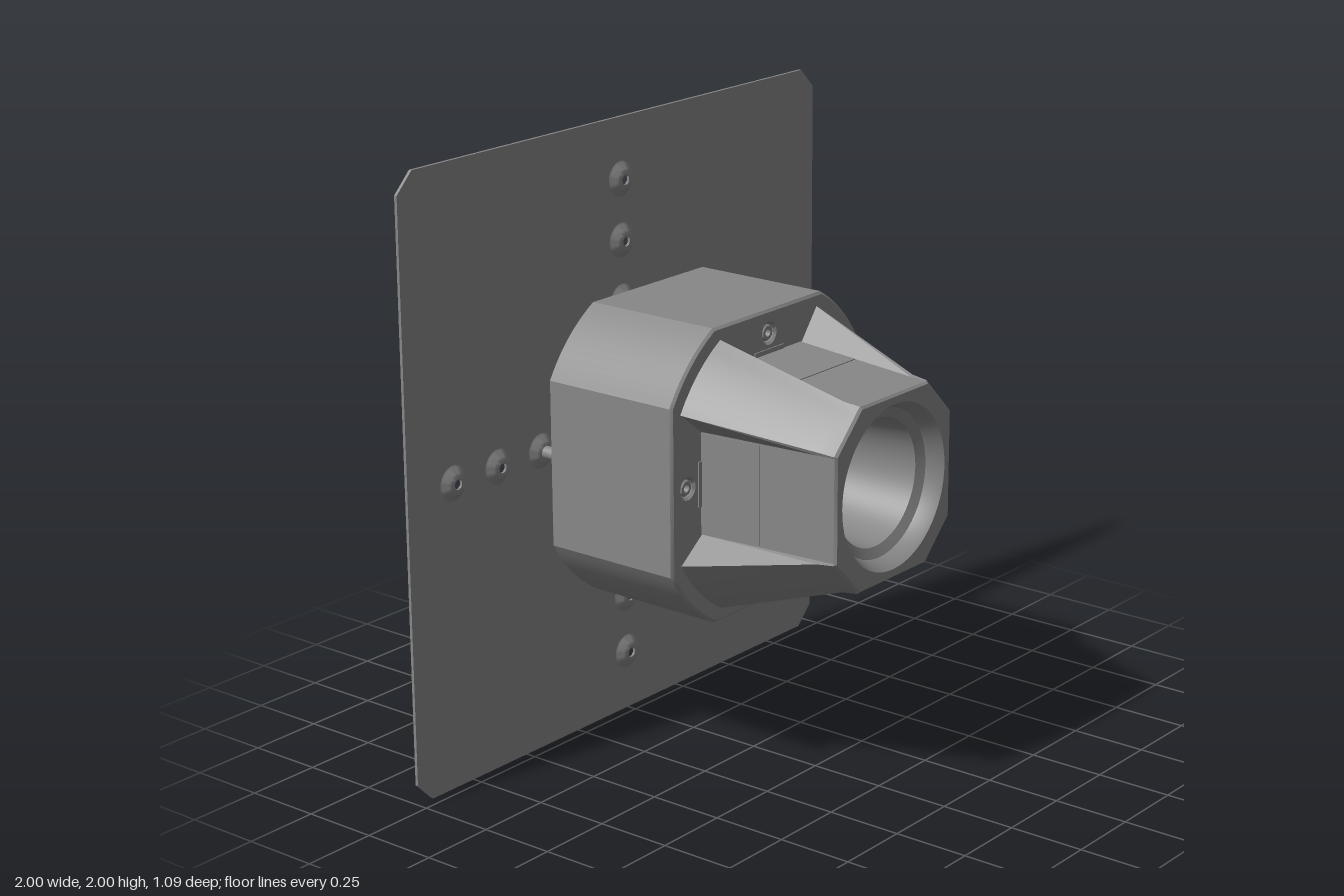
import * as THREE from 'three';
import { toCreasedNormals } from 'three/addons/utils/BufferGeometryUtils.js';

const darkGrey = new THREE.MeshStandardMaterial({ color: 0x888888 });
const darkGreyDouble = new THREE.MeshStandardMaterial({ color: 0x888888, side: THREE.DoubleSide });

function add(parent, name, geometry, x = 0, y = 0, z = 0, material = darkGrey) {
  const mesh = new THREE.Mesh(geometry, material);
  mesh.name = name;
  mesh.position.set(x, y, z);
  parent.add(mesh);
  return mesh;
}

// Turned part around the z axis; points are [radius, z]
function turned(points, segments = 32, crease = 0.5) {
  const g = new THREE.LatheGeometry(points.map(([r, z]) => new THREE.Vector2(r, z)), segments);
  g.rotateX(Math.PI / 2);
  return toCreasedNormals(g, crease);
}

function polygon(points) {
  return new THREE.Shape(points.map(([x, y]) => new THREE.Vector2(x, y)));
}

function punch(shape, x, y, r) {
  shape.holes.push(new THREE.Path().absarc(x, y, r, 0, Math.PI * 2, true));
}

// Repeats a quarter of an outline around the z axis
function fourfold(quarter) {
  const out = [];
  for (let k = 0; k < 4; k++) {
    for (const [x, y] of quarter) {
      out.push([[x, y], [-y, x], [-x, -y], [y, -x]][k]);
    }
  }
  return out;
}

// Nozzle outline: flat sides at distance f, corner ribs reaching (bx, by)
function nozzleOutline({ f, bx, by, bulge }) {
  const quarter = [[f, 0.165]];
  for (let i = 0; i <= 6; i++) {
    const t = i / 6;
    const push = bulge * 4 * t * (1 - t) * Math.SQRT1_2;
    quarter.push([bx + (by - bx) * t + push, by + (bx - by) * t + push]);
  }
  quarter.push([0.165, f]);
  return fourfold(quarter);
}

function loft(sections) {
  const rings = sections.map(nozzleOutline);
  const n = rings[0].length;
  const positions = [], index = [];
  rings.forEach((ring, s) => ring.forEach(([x, y]) => positions.push(x, y, sections[s].z)));
  for (let s = 0; s < rings.length - 1; s++) {
    for (let j = 0; j < n; j++) {
      const a = s * n + j, b = s * n + (j + 1) % n;
      index.push(a, b, b + n, a, b + n, a + n);
    }
  }
  const g = new THREE.BufferGeometry();
  g.setAttribute('position', new THREE.Float32BufferAttribute(positions, 3));
  g.setIndex(index);
  return toCreasedNormals(g, 0.3);
}

export function createModel() {
  const root = new THREE.Group();
  root.name = 'hornOnMountingPlate';
  const model = new THREE.Group();
  model.name = 'assembly';
  model.position.y = 1;
  root.add(model);

  // Hole pattern: centre plus three along each arm of a cross
  const spots = [[0, 0]];
  for (const d of [0.4, 0.6, 0.8]) spots.push([d, 0], [0, d], [-d, 0], [0, -d]);

  // Sheet plate with clipped corners
  const plate = polygon(fourfold([[1, -0.935], [1, 0.935]]));
  for (const [x, y] of spots) punch(plate, x, y, 0.056);
  add(model, 'mountingPlate',
    new THREE.ExtrudeGeometry(plate, { depth: 0.01, bevelEnabled: false, curveSegments: 16 }), 0, 0, -0.543);

  // Soft dimples pressed forward out of the plate, each with a small hole
  const dimple = turned([[0.058, -0.533], [0.051, -0.53], [0.036, -0.516], [0.029, -0.513], [0.016, -0.512],
    [0.016, -0.521], [0.027, -0.522], [0.034, -0.525], [0.049, -0.539], [0.058, -0.543]], 32, 0.8);
  for (const [x, y] of spots) add(model, 'plateDimple', dimple, x, y, 0);

  // Body: a square cut by a circle
  const half = 0.475, radius = 0.546;
  const start = Math.acos(half / radius), end = Math.PI / 2 - start;
  const arc = [];
  for (let i = 0; i <= 10; i++) {
    const a = start + (end - start) * i / 10;
    arc.push([radius * Math.cos(a), radius * Math.sin(a)]);
  }
  const body = polygon(fourfold(arc));
  punch(body, 0, 0, 0.25);
  const arms = spots.slice(1, 5);
  for (const [x, y] of arms) punch(body, x, y, 0.029);
  const bodyGeometry = new THREE.ExtrudeGeometry(body, {
    depth: 0.475, bevelThickness: 0.008, bevelSize: 0.008, bevelOffset: -0.008, bevelSegments: 1, curveSegments: 24,
  });
  add(model, 'body', toCreasedNormals(bodyGeometry, 0.4), 0, 0, -0.422);

  // Back wall of the body, open for the bore
  add(model, 'bodyBackWall', turned([[0.12, -0.43], [0.27, -0.43], [0.27, -0.42], [0.12, -0.42]], 48),
    0, 0, 0, darkGreyDouble);

  // Tapering nozzle with four flared corner ribs
  add(model, 'nozzle', loft([
    { z: 0.05, f: 0.335, bx: 0.437, by: 0.243, bulge: 0.018 },
    { z: 0.48, f: 0.299, bx: 0.303, by: 0.176, bulge: 0.002 },
    { z: 0.535, f: 0.295, bx: 0.297, by: 0.171, bulge: 0 },
    { z: 0.543, f: 0.288, bx: 0.289, by: 0.168, bulge: 0 },
  ]));
  const face = polygon(nozzleOutline({ f: 0.288, bx: 0.289, by: 0.168, bulge: 0 }));
  punch(face, 0, 0, 0.265);
  add(model, 'nozzleFrontFace', new THREE.ShapeGeometry(face, 32), 0, 0, 0.543);

  // Stepped mouth and conical bore, open to the back
  add(model, 'bore', turned([[0.265, 0.543], [0.252, 0.525], [0.238, 0.49], [0.205, 0.475], [0.12, -0.43]], 64, 0.35),
    0, 0, 0, darkGreyDouble);

  // Side panels with latch tabs on the four flats
  const panelGeometry = new THREE.BoxGeometry(0.32, 0.01, 0.215);
  const tabGeometry = new THREE.BoxGeometry(0.145, 0.02, 0.01);
  for (let k = 0; k < 4; k++) {
    const side = new THREE.Group();
    side.name = 'sidePanel';
    side.rotation.z = k * Math.PI / 2;
    model.add(side);
    add(side, 'panel', panelGeometry, 0, 0.323, 0.165).rotation.x = 0.083;
    add(side, 'latchTab', tabGeometry, 0, 0.341, 0.06);
  }

  // Standoff posts and recessed socket screws
  const post = new THREE.CylinderGeometry(0.021, 0.021, 0.54, 20).rotateX(Math.PI / 2);
  const screw = turned([[0.027, 0.01], [0.027, 0.05], [0.022, 0.056], [0.012, 0.056], [0.012, 0.038], [0, 0.038]], 24);
  for (const [x, y] of arms) {
    add(model, 'standoffPost', post, x, y, -0.242);
    add(model, 'socketScrew', screw, x, y, 0);
  }
  return root;
}
